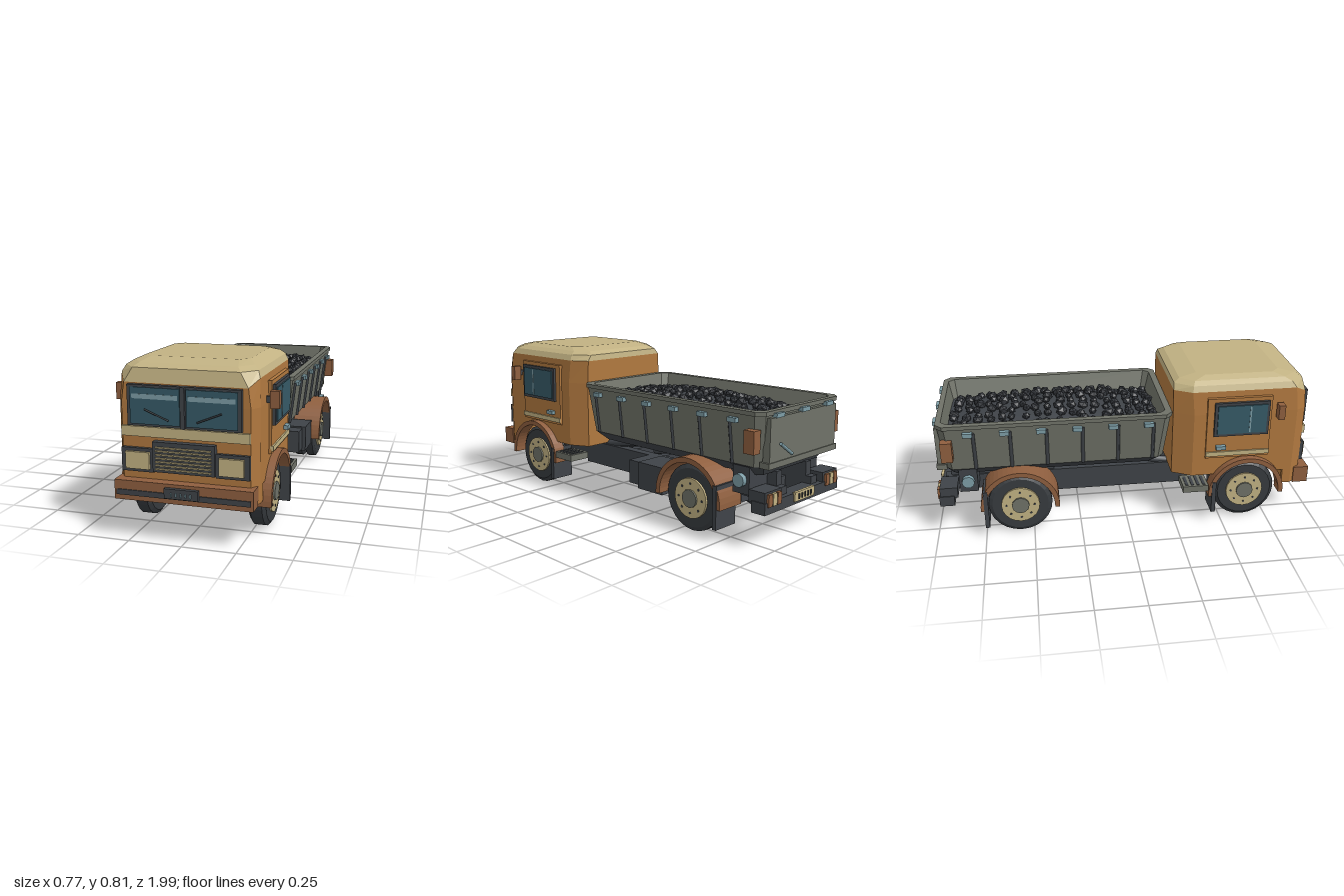
import * as THREE from 'three';
import { mergeGeometries } from 'three/addons/utils/BufferGeometryUtils.js';

export function createModel() {
  const truck = new THREE.Group();
  truck.name = 'dumpTruck';
  const mat = (name, color) => Object.assign(new THREE.MeshStandardMaterial({ color }), { name });
  const orange = mat('cabOrange', 0xb0783f), rust = mat('rustBrown', 0x8f5f3f), cream = mat('cream', 0xc2b283);
  const dark = mat('darkSteel', 0x3f4348), tyre = mat('tyreRubber', 0x373b3f), coal = mat('coal', 0x34373c);
  const glass = mat('glass', 0x365a67), steel = mat('paleBlueSteel', 0x7d9da6), grey = mat('bedGrey', 0x6f7268);

  const add = (name, geo, material) => {
    const m = new THREE.Mesh(geo, material);
    m.name = name;
    truck.add(m);
    return m;
  };
  const flat = (g) => {
    const n = g.index ? g.toNonIndexed() : g;
    n.computeVertexNormals();
    return n;
  };
  const box = (name, m, x0, x1, y0, y1, z0, z1) =>
    add(name, new THREE.BoxGeometry(Math.abs(x1 - x0), y1 - y0, z1 - z0)
      .translate((x0 + x1) / 2, (y0 + y1) / 2, (z0 + z1) / 2), m);
  const pair = (name, m, x0, x1, ...r) => { box(name, m, x0, x1, ...r); box(name, m, -x0, -x1, ...r); };
  // round bar between two points
  const bar = (name, m, a, b, r, sides = 8) => {
    const A = new THREE.Vector3(...a), B = new THREE.Vector3(...b);
    const mesh = add(name, new THREE.CylinderGeometry(r, r, A.distanceTo(B), sides), m);
    mesh.position.copy(A).add(B).multiplyScalar(0.5);
    mesh.quaternion.setFromUnitVectors(new THREE.Vector3(0, 1, 0), B.sub(A).normalize());
  };
  // horizontal ring with chamfered corners: front cut (cx, cz), back cut (dx, dz)
  const ring = (y, hw, zf, zb, cx, cz, dx = cx, dz = cz) => [
    [-hw + cx, y, zf], [hw - cx, y, zf], [hw, y, zf - cz], [hw, y, zb + dz],
    [hw - dx, y, zb], [-hw + dx, y, zb], [-hw, y, zb + dz], [-hw, y, zf - cz]];
  // skin through rings, with optional end caps
  const loft = (rings, bottom, top) => {
    const pos = [], n = rings[0].length;
    const tri = (...p) => p.forEach((v) => pos.push(...v));
    for (let k = 0; k + 1 < rings.length; k++) for (let i = 0; i < n; i++) {
      const j = (i + 1) % n, a = rings[k], b = rings[k + 1];
      tri(a[i], a[j], b[j]);
      tri(a[i], b[j], b[i]);
    }
    const last = rings[rings.length - 1];
    for (let i = 1; i < n - 1; i++) {
      if (bottom) tri(rings[0][0], rings[0][i + 1], rings[0][i]);
      if (top) tri(last[0], last[i], last[i + 1]);
    }
    const g = new THREE.BufferGeometry();
    g.setAttribute('position', new THREE.Float32BufferAttribute(pos, 3));
    g.computeVertexNormals();
    return g;
  };
  // side profile drawn in (z, y), extruded from x0 to x1
  const sideExtrude = (shape, x0, x1) => new THREE.ExtrudeGeometry(shape, { depth: x1 - x0, bevelEnabled: false, curveSegments: 12 })
    .rotateY(-Math.PI / 2).translate(x1, 0, 0);

  // Cab shell and roof, sharing the seam ring that dips at the front
  const seam = ring(0.742, 0.318, 0.922, 0.235, 0.035, 0.06, 0.05, 0.09);
  seam[0][1] = seam[1][1] = 0.708;
  const body = (y) => ring(y, 0.325, 0.925, 0.235, 0.03, 0.05, 0.05, 0.1);
  add('cabShell', loft([body(0.37), body(0.62), seam], true, false), orange);
  add('cabRoof', loft([seam, ring(0.772, 0.305, 0.91, 0.24, 0.06, 0.07, 0.06, 0.09),
    ring(0.79, 0.28, 0.875, 0.27, 0.055, 0.07), ring(0.807, 0.245, 0.79, 0.36, 0.04, 0.04)], false, true), cream);
  const low = (y) => ring(y, 0.325, 0.925, 0.825, 0.03, 0.05, 0.005, 0.005);
  add('cabFrontLower', loft([low(0.19), low(0.37)], true, true), orange);
  const rear = (y) => ring(y, 0.325, 0.43, 0.235, 0.005, 0.005, 0.05, 0.1);
  add('cabRearLower', loft([rear(0.27), rear(0.37)], true, true), orange);

  // Windscreen, sun strip and wipers
  box('windscreenFrame', dark, -0.26, 0.26, 0.52, 0.703, 0.9, 0.945);
  pair('windscreenPane', glass, 0.015, 0.245, 0.53, 0.693, 0.94, 0.95);
  pair('sunStrip', steel, 0.024, 0.235, 0.643, 0.664, 0.948, 0.952);
  box('windscreenPost', dark, -0.01, 0.01, 0.52, 0.703, 0.94, 0.958);
  for (const s of [-1, 1]) bar('wiper', dark, [s * 0.065, 0.553, 0.956], [s * 0.175, 0.598, 0.956], 0.004);

  // Front trim, grille, lamps and bumper
  box('frontBand', cream, -0.295, 0.295, 0.47, 0.515, 0.9, 0.938);
  box('grille', dark, -0.143, 0.143, 0.318, 0.455, 0.9, 0.955);
  for (let i = 0; i < 7; i++) {
    const y = 0.334 + i * 0.0162;
    box('grilleSlat', cream, -0.128, 0.128, y - 0.003, y + 0.003, 0.95, 0.963);
  }
  pair('headlightPanel', dark, 0.143, 0.295, 0.31, 0.418, 0.9, 0.942);
  pair('headlight', cream, 0.16, 0.272, 0.325, 0.403, 0.93, 0.955);
  box('bumper', rust, -0.32, 0.32, 0.185, 0.275, 0.895, 0.975);
  box('bumperStripe', dark, -0.31, 0.31, 0.208, 0.233, 0.97, 0.98);
  box('frontPlate', dark, -0.078, 0.078, 0.215, 0.26, 0.97, 0.994);
  for (let i = -2; i <= 2; i++) box('plateBar', steel, i * 0.022 - 0.003, i * 0.022 + 0.003, 0.226, 0.243, 0.992, 1);

  // Doors, side windows, mirrors and steps
  pair('door', orange, 0.31, 0.338, 0.375, 0.71, 0.4, 0.735);
  pair('doorBand', cream, 0.33, 0.346, 0.388, 0.412, 0.4, 0.735);
  pair('sideWindowFrame', dark, 0.31, 0.352, 0.505, 0.69, 0.435, 0.72);
  pair('sideWindow', glass, 0.345, 0.358, 0.52, 0.675, 0.45, 0.705);
  pair('windowGlint', steel, 0.35, 0.36, 0.525, 0.67, 0.615, 0.623);
  pair('doorHandle', steel, 0.33, 0.36, 0.43, 0.45, 0.45, 0.5);
  pair('mirrorArm', dark, 0.31, 0.35, 0.62, 0.65, 0.765, 0.78);
  pair('mirror', rust, 0.342, 0.385, 0.597, 0.675, 0.757, 0.79);
  pair('step', grey, 0.24, 0.362, 0.19, 0.225, 0.285, 0.42);
  for (let i = 0; i < 4; i++) pair('stepSlot', dark, 0.26, 0.35, 0.223, 0.228, 0.3 + i * 0.03, 0.315 + i * 0.03);

  // Wheels with rims, hubs and bolts
  const wheelY = 0.166;
  const disc = (name, m, r, x0, x1, y, z, n = 20) => bar(name, m, [x0, y, z], [x1, y, z], r, n);
  const tire = (name, xc, w, z) => {
    const pts = [[0.001, -w], [0.145, -w], [0.165, -w * 0.65], [0.165, w * 0.65], [0.145, w], [0.001, w]];
    const g = new THREE.LatheGeometry(pts.map((p) => new THREE.Vector2(...p)), 24);
    add(name, flat(g.rotateZ(Math.PI / 2).translate(xc, wheelY, z)), tyre);
  };
  // Wheel arches and flaps
  const arch = (z, r0, r1) => {
    const s = new THREE.Shape();
    s.absarc(z, wheelY, r1, -0.05, Math.PI + 0.05, false);
    s.absarc(z, wheelY, r0, Math.PI + 0.05, -0.05, true);
    return s;
  };
  const spandrel = new THREE.Shape([[0.83, 0.27], [0.83, 0.375], [0.42, 0.375], [0.42, 0.27]].map((p) => new THREE.Vector2(...p)));
  spandrel.absarc(0.625, wheelY, 0.19, Math.PI - 0.58, 0.58, true);
  for (const s of [-1, 1]) {
    const span = (shape, a, b) => (s > 0 ? sideExtrude(shape, a, b) : sideExtrude(shape, -b, -a));
    tire('frontTyre', s * 0.28, 0.042, 0.625);
    tire('rearOuterTyre', s * 0.288, 0.032, -0.565);
    tire('rearInnerTyre', s * 0.217, 0.032, -0.565);
    for (const z of [0.625, -0.565]) {
      disc('wheelRim', cream, 0.099, s * 0.28, s * 0.331, wheelY, z);
      disc('wheelHub', grey, 0.045, s * 0.28, s * 0.34, wheelY, z, 12);
      for (let i = 0; i < 8; i++) {
        const a = (i * Math.PI) / 4;
        disc('wheelBolt', dark, 0.006, s * 0.325, s * 0.334, wheelY + 0.073 * Math.sin(a), z + 0.073 * Math.cos(a), 6);
      }
    }
    add('cabArchPanel', span(spandrel, 0.3, 0.325), orange);
    add('frontFender', span(arch(0.625, 0.178, 0.203), 0.295, 0.362), rust);
    add('rearFender', span(arch(-0.565, 0.178, 0.203), 0.2, 0.357), rust);
  }
  pair('frontMudFlap', dark, 0.235, 0.365, 0.06, 0.24, 0.44, 0.462);
  pair('rearMudFlap', dark, 0.22, 0.362, 0.06, 0.27, -0.75, -0.728);

  // Chassis, axles and drivetrain
  pair('chassisRail', dark, 0.1, 0.15, 0.18, 0.262, -0.95, 0.9);
  pair('lowerRail', dark, 0.105, 0.145, 0.133, 0.18, -0.7, 0.4);
  for (const z of [0.35, 0.12, -0.1, -0.32, -0.78]) box('crossMember', dark, -0.12, 0.12, 0.19, 0.24, z - 0.025, z + 0.025);
  box('frontAxle', dark, -0.25, 0.25, 0.133, 0.185, 0.59, 0.66);
  bar('rearAxle', dark, [-0.25, wheelY, -0.565], [0.25, wheelY, -0.565], 0.035);
  box('differential', dark, -0.092, 0.098, 0.092, 0.25, -0.64, -0.49);
  bar('driveShaft', dark, [0, 0.18, 0.5], [0, 0.17, -0.5], 0.02);
  box('toolBox', dark, 0.14, 0.31, 0.13, 0.27, -0.36, -0.19);
  box('toolBoxEnd', dark, 0.14, 0.29, 0.14, 0.262, -0.19, -0.105);
  pair('tipSubframe', dark, 0.1, 0.14, 0.262, 0.33, -0.92, -0.38);
  for (const s of [-1, 1]) {
    bar('tipArm', dark, [s * 0.12, 0.262, 0.24], [s * 0.12, 0.325, -0.12], 0.02);
    bar('tipRam', dark, [s * 0.07, 0.265, -0.08], [s * 0.07, 0.335, -0.4], 0.018);
  }

  // Tipper bed
  const tub = (y, hw, zf, zb, c) => ring(y, hw, zf, zb, c, c);
  add('bedUnderside', loft([tub(0.325, 0.235, 0.135, -0.9, 0.02), tub(0.372, 0.282, 0.19, -0.925, 0.03)], true, false), dark);
  add('bedTub', loft([tub(0.372, 0.282, 0.19, -0.925, 0.03), tub(0.61, 0.312, 0.222, -0.95, 0.035),
    tub(0.61, 0.32, 0.228, -0.957, 0.035), tub(0.63, 0.32, 0.228, -0.957, 0.035),
    tub(0.63, 0.288, 0.195, -0.93, 0.03), tub(0.5, 0.245, 0.16, -0.905, 0.02)], true, false), grey);
  const rearGate = box('tailgate', grey, -0.265, 0.265, 0.4, 0.6, -0.967, -0.93);
  rearGate.name = 'tailgate';
  box('tailgateLedge', grey, -0.275, 0.275, 0.372, 0.4, -0.972, -0.92);
  bar('tailgateLever', steel, [0.2, 0.48, -0.978], [0.11, 0.42, -0.978], 0.008);
  for (const x of [-0.2, 0, 0.2]) box('tailgateHook', steel, x - 0.03, x + 0.03, 0.598, 0.618, -0.974, -0.945);
  for (let i = 0; i < 6; i++) {
    const z = 0.13 - i * 0.181;
    for (const s of [-1, 1]) {
      bar('bedRib', dark, [s * 0.285, 0.372, z], [s * 0.312, 0.585, z], 0.009, 4);
      box('bedHook', steel, s * 0.3, s * 0.332, 0.57, 0.592, z - 0.05, z - 0.002);
    }
  }
  pair('sideMarker', rust, 0.295, 0.342, 0.445, 0.55, -0.937, -0.88);

  // Coal heap: a mounded bed with lumps from a seeded scatter
  let seed = 7;
  const rnd = () => (seed = (seed * 16807) % 2147483647) / 2147483647;
  const mound = (x, z) => 0.535 + 0.075 * Math.cos(x * 5.5) * Math.cos((z + 0.36) * 2.4);
  const base = new THREE.PlaneGeometry(0.52, 1.1, 8, 16).rotateX(-Math.PI / 2).translate(0, 0, -0.372);
  const bp = base.attributes.position;
  for (let i = 0; i < bp.count; i++) bp.setY(i, mound(bp.getX(i), bp.getZ(i)) - 0.008);
  add('coalBase', flat(base), dark);
  const lumps = [];
  for (let r = 0; r < 18; r++) for (let c = 0; c < 8; c++) {
    const x = -0.195 + c * 0.056 + (rnd() - 0.5) * 0.03, z = 0.145 - r * 0.06 + (rnd() - 0.5) * 0.03;
    lumps.push(new THREE.IcosahedronGeometry(0.02 + rnd() * 0.01, 0)
      .scale(1, 0.75 + rnd() * 0.3, 0.8 + rnd() * 0.4)
      .rotateY(rnd() * 6).rotateX(rnd() - 0.5).translate(x, mound(x, z) + 0.004, z));
  }
  add('coalLumps', flat(mergeGeometries(lumps)), coal);

  // Rear bumper, lamps, plate and air tanks
  box('rearBumper', dark, -0.3, 0.3, 0.17, 0.225, -0.975, -0.9);
  pair('rearLampBox', dark, 0.17, 0.295, 0.215, 0.272, -0.97, -0.88);
  [rust, cream, rust].forEach((m, i) => pair('rearLamp', m, 0.185 + i * 0.034, 0.213 + i * 0.034, 0.205, 0.262, -0.983, -0.96));
  box('rearPlate', cream, -0.08, 0.08, 0.185, 0.23, -0.984, -0.97);
  for (let i = -2; i <= 2; i++) box('rearPlateBar', dark, i * 0.024 - 0.004, i * 0.024 + 0.004, 0.195, 0.22, -0.988, -0.982);
  pair('tankBracket', dark, 0.14, 0.275, 0.235, 0.37, -0.868, -0.775);
  for (const s of [-1, 1]) disc('airTank', steel, 0.032, s * 0.2, s * 0.3, 0.3, -0.822, 10);
  return truck;
}
